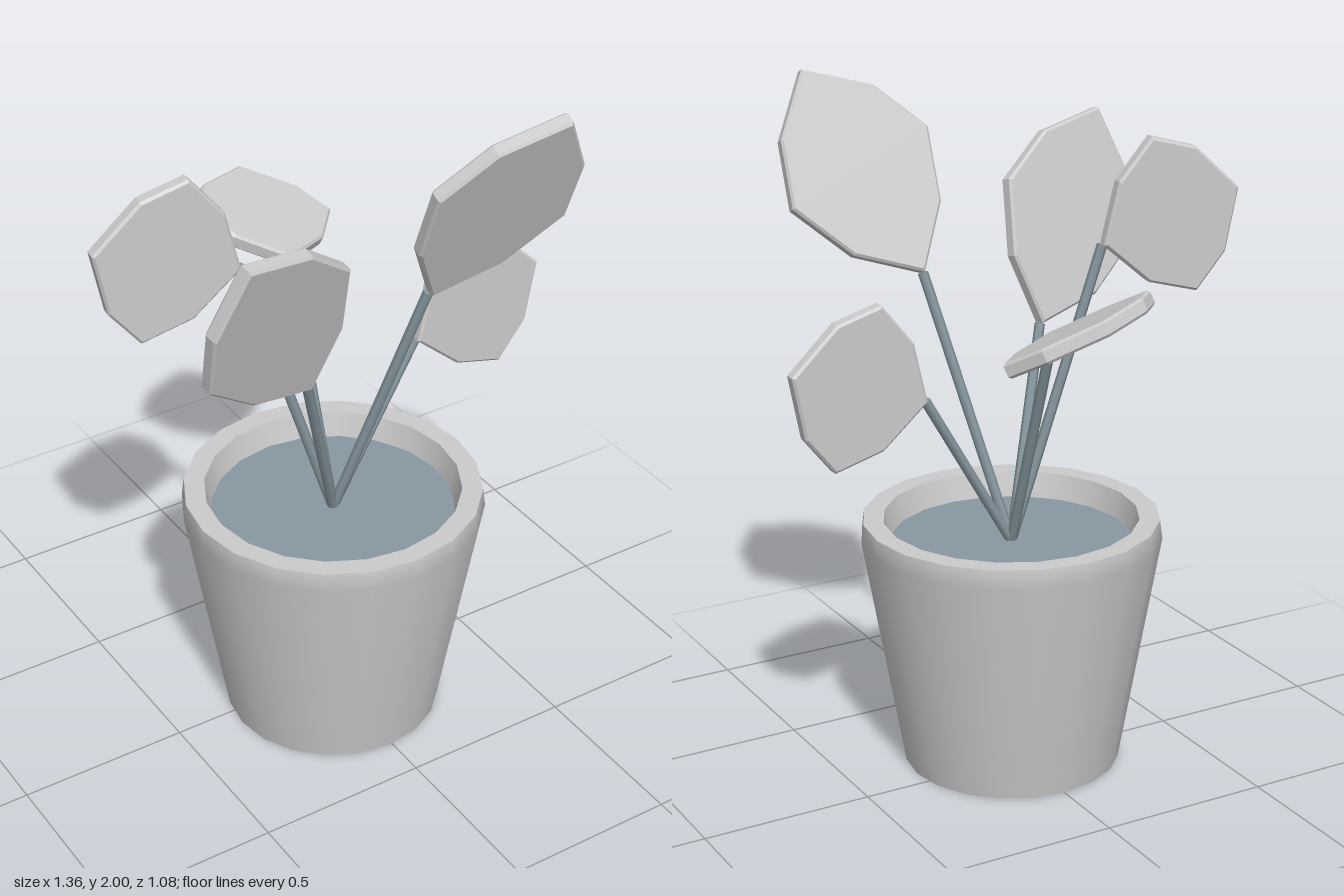
import * as THREE from 'three';

const V = (a) => new THREE.Vector3(...a);
const ROOT = [-0.005, 0.665, 0.06];

const grey = new THREE.MeshStandardMaterial({ color: 0xcccccc });
const greyOpen = new THREE.MeshStandardMaterial({ color: 0xcccccc, side: THREE.DoubleSide });
const slate = new THREE.MeshStandardMaterial({ color: 0x8898a1 });

function named(name, geometry, material) {
  const mesh = new THREE.Mesh(geometry, material);
  mesh.name = name;
  return mesh;
}

// Ring of pot wall from [radius, y] pairs
function wall(name, points) {
  const profile = points.map(([r, y]) => new THREE.Vector2(r, y));
  return named(name, new THREE.LatheGeometry(profile, 20), greyOpen);
}

// Straight stem between two points
function stem(from, to) {
  const dir = to.clone().sub(from);
  const mesh = named('stem', new THREE.CylinderGeometry(0.015, 0.015, dir.length(), 6), slate);
  mesh.position.copy(from).addScaledVector(dir, 0.5);
  mesh.quaternion.setFromUnitVectors(new THREE.Vector3(0, 1, 0), dir.normalize());
  return mesh;
}

// Eight-cornered flat leaf: y runs from base to tip, x across
function leaf(base, tip, side) {
  const axis = tip.clone().sub(base);
  const length = axis.length();
  axis.normalize();
  const half = side.length();
  const across = side.clone().addScaledVector(axis, -side.dot(axis)).normalize();
  const normal = across.clone().cross(axis);

  const edge = [[0.65, 0.22], [1, 0.52], [0.68, 0.79]];
  const corners = [[0, 0], ...edge, [0, 1], ...edge.map(([x, y]) => [-x, y]).reverse()];
  const shape = new THREE.Shape(corners.map(([x, y]) => new THREE.Vector2(x * half, y * length)));
  const geometry = new THREE.ExtrudeGeometry(shape, {
    depth: 0.03, bevelThickness: 0.007, bevelSize: 0.007, bevelOffset: -0.007, bevelSegments: 1,
  });
  geometry.translate(0, 0, -0.015);
  geometry.applyMatrix4(new THREE.Matrix4().makeBasis(across, axis, normal).setPosition(base));
  return named('leaf', geometry, grey);
}

export function createModel() {
  const plant = new THREE.Group();
  plant.name = 'pottedPlant';

  // Tapered pot, open below, with a softened lip
  const pot = new THREE.Group();
  pot.name = 'pot';
  pot.position.set(ROOT[0], 0, ROOT[2]);
  pot.add(
    wall('outerWall', [[0.315, 0], [0.434, 0.69], [0.427, 0.745]]),
    wall('rim', [[0.427, 0.745], [0.368, 0.745]]),
    wall('innerWall', [[0.368, 0.745], [0.348, 0.66]]),
  );
  const soil = named('soil', new THREE.CircleGeometry(0.35, 20).rotateX(-Math.PI / 2), slate);
  soil.position.y = 0.67;
  pot.add(soil);
  plant.add(pot);

  // Each leaf: base, tip and half-width direction
  const leaves = {
    backLeaf: [[0.015, 1.34, -0.2], [0.05, 1.465, -0.54], [0.225, -0.07, 0]],
    leftLeaf: [[0.27, 1.135, 0.055], [0.677, 1.268, 0.055], [-0.074, 0.228, 0]],
    frontLeftLeaf: [[0.16, 1.435, 0.27], [0.41, 1.99, 0.515], [0.219, -0.092, -0.017]],
    frontRightLeaf: [[-0.2, 1.242, 0.235], [-0.51, 1.805, 0.45], [0.211, 0.116, 0]],
    rightLeaf: [[-0.27, 1.52, 0.01], [-0.677, 1.653, -0.05], [0.074, 0.228, 0.01]],
  };
  for (const [name, [base, tip, side]] of Object.entries(leaves)) {
    const group = new THREE.Group();
    group.name = name;
    group.add(stem(V(ROOT), V(base)), leaf(V(base), V(tip), V(side)));
    plant.add(group);
  }
  return plant;
}
